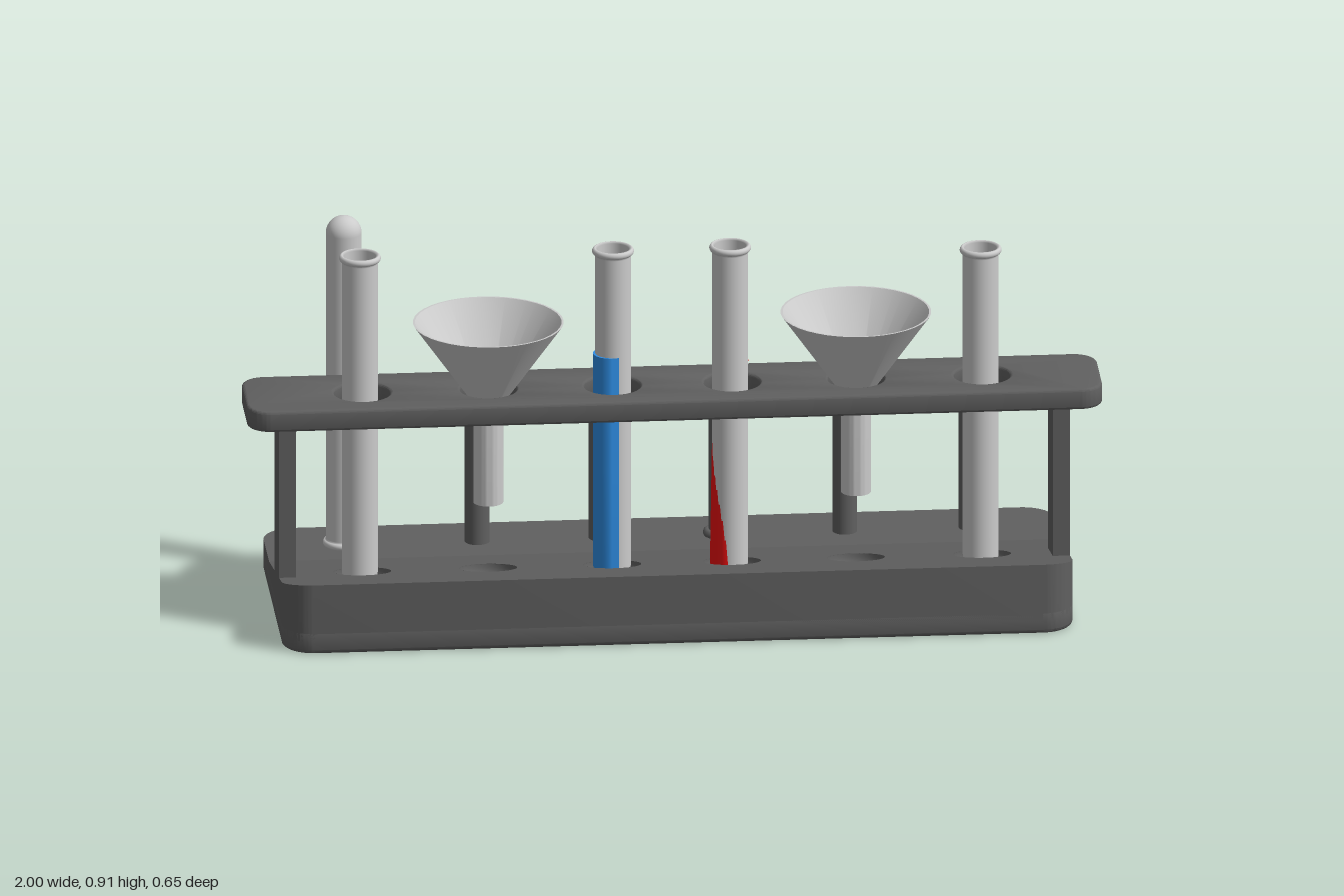
import * as THREE from 'three';
import { toCreasedNormals } from 'three/addons/utils/BufferGeometryUtils.js';

const paint = (color, side = THREE.FrontSide) => new THREE.MeshStandardMaterial({ color, side });
const V = (x, y) => new THREE.Vector2(x, y);

const SLOTS = [-0.725, -0.43, -0.14, 0.14, 0.43, 0.725];
const ROW_Z = 0.11, PEG_Z = -0.2;
const SLOPE = 0.214;
const deckHeight = (z) => 0.08 + Math.max(0, z + 0.1) * SLOPE;

// Rectangle with its own corner radius on the low-y and high-y ends
function roundedRect(hx, y0, y1, rLow, rHigh) {
  const s = new THREE.Shape();
  const corner = (x, y, r, a) => r
    ? s.absarc(x - Math.sign(x) * r, y + (y === y0 ? r : -r), r, a, a + Math.PI / 2, false)
    : s.lineTo(x, y);
  s.moveTo(-hx + rLow, y0);
  corner(hx, y0, rLow, -Math.PI / 2);
  corner(hx, y1, rHigh, 0);
  corner(-hx, y1, rHigh, Math.PI / 2);
  corner(-hx, y0, rLow, Math.PI);
  return s;
}

function addHoles(shape, y, r) {
  for (const x of SLOTS) {
    shape.holes.push(new THREE.Path().absarc(x, y, r, 0, Math.PI * 2, true));
  }
  return shape;
}

// Extrude a plan upwards; plan y becomes -z
function slab(shape, y0, y1, bevel = 0) {
  const g = new THREE.ExtrudeGeometry(shape, {
    depth: y1 - y0 - 2 * bevel, curveSegments: 14, bevelEnabled: bevel > 0,
    bevelThickness: bevel, bevelSize: bevel, bevelOffset: -bevel, bevelSegments: 3,
  });
  return g.rotateX(-Math.PI / 2).translate(0, y0 + bevel, 0);
}

// Apply a rule to every vertex
function moveVertices(g, rule) {
  const p = g.attributes.position, v = new THREE.Vector3();
  for (let i = 0; i < p.count; i++) {
    rule(v.fromBufferAttribute(p, i));
    p.setXYZ(i, v.x, v.y, v.z);
  }
  g.computeVertexNormals();
  return g;
}

// Points of a quarter-round end, from the axis outwards
function roundEnd(r, yCentre, h = r, n = 8) {
  return Array.from({ length: n + 1 }, (_, i) => {
    const a = (i / n) * Math.PI / 2;
    return V(r * Math.sin(a), yCentre - h * Math.cos(a));
  });
}

// Test tube standing on y = 0: rounded end, flared lip, hollow inside
function tubeGeometry(length) {
  const r = 0.042, ri = 0.037;
  const lip = Array.from({ length: 9 }, (_, i) => {
    const a = -Math.PI / 2 + (i / 8) * Math.PI;
    return V(r + 0.007 * Math.cos(a), length - 0.008 + 0.008 * Math.sin(a));
  });
  return new THREE.LatheGeometry([
    ...roundEnd(r, r), V(r, length - 0.02), ...lip,
    V(ri, length - 0.004), ...roundEnd(ri, r).reverse(),
  ], 32);
}

export function createModel() {
  const group = new THREE.Group();
  const dark = paint(0x606060), darkOpen = paint(0x606060, THREE.DoubleSide);
  const grey = paint(0xcccccc, THREE.DoubleSide);
  const add = (name, geometry, material, x = 0, y = 0, z = 0) => {
    const m = new THREE.Mesh(geometry, material);
    m.name = name;
    m.position.set(x, y, z);
    group.add(m);
    return m;
  };

  // Base: solid foot, sloped front deck with recesses, flat rear deck
  const W = 0.925, D = 0.325, R = 0.075;
  add('baseFoot', toCreasedNormals(slab(roundedRect(W, -D, D, R, R), 0, 0.06, 0.01), 0.6), dark);
  const toDeck = (v) => { if (v.y > 0.05) v.y = deckHeight(v.z); };
  const front = addHoles(roundedRect(W, -D, 0.1, R, 0), -ROW_Z, 0.068);
  const rear = roundedRect(W, 0.1, D, 0, R);
  add('frontDeck', toCreasedNormals(moveVertices(slab(front, 0.03, 0.08), toDeck), 0.6), dark);
  add('rearDeck', toCreasedNormals(moveVertices(slab(rear, 0.03, 0.08), toDeck), 0.6), dark);

  // Rounded recesses that follow the slope
  const cup = moveVertices(new THREE.LatheGeometry(roundEnd(0.068, 0, 0.045), 32),
    (v) => { v.y += v.z * SLOPE; });
  for (const x of SLOTS) add('recess', cup, darkOpen, x, deckHeight(ROW_Z), ROW_Z);

  // Side posts and pierced top plate
  for (const s of [-1, 1]) {
    add('post', new THREE.BoxGeometry(0.04, 0.46, 0.13), dark, s * 0.905, 0.3, 0.115);
  }
  const plate = addHoles(roundedRect(1, -0.125, 0.125, 0.055, 0.055), 0, 0.066);
  add('topPlate', toCreasedNormals(slab(plate, 0.52, 0.57, 0.006), 0.6), dark, 0, 0, ROW_Z);

  // Drying pegs with domed tops
  const peg = new THREE.LatheGeometry(
    [V(0.029, 0.07), ...roundEnd(0.029, -0.412).reverse().map((p) => V(p.x, -p.y))], 24);
  for (const x of SLOTS) add('peg', peg, dark, x, 0, PEG_Z);
  const collar = new THREE.TorusGeometry(0.032, 0.01, 10, 28).rotateX(Math.PI / 2);
  add('pegCollar', collar, dark, SLOTS[3], 0.086, PEG_Z);

  // Tubes in the rack: x, bottom, top
  const tubes = [[-0.73, 0.085, 0.91], [-0.138, 0.085, 0.91], [0.136, 0.085, 0.91], [0.722, 0.085, 0.887]];
  for (const [x, y0, y1] of tubes) add('testTube', tubeGeometry(y1 - y0), grey, x, y0, ROW_Z);

  // Inverted tube drying on a peg
  add('dryingTube', tubeGeometry(0.815), grey, -0.742, 0.895, PEG_Z).rotation.x = Math.PI;

  // Liquids: colour, x, radius, level, sideways offset at bottom and top
  const liquids = [
    [0xc040e0, -0.73, 0.0355, 0.5, [0, 0], [0, 0]],
    [0x2f8fe6, -0.138, 0.041, 0.65, [-0.006, 0.003], [-0.006, 0.003]],
    [0xf01010, 0.136, 0.041, 0.62, [-0.007, 0.001], [0.002, -0.007]],
    [0x20e030, 0.722, 0.0355, 0.45, [0, 0], [0, 0]],
  ];
  for (const [color, x, r, level, a, b] of liquids) {
    const h = level - 0.087;
    const g = new THREE.LatheGeometry(
      [...roundEnd(r, r), V(r, h * 0.5), V(r, h), V(r, h), V(0, h)], 32);
    moveVertices(g, (v) => {
      const t = v.y / h;
      v.x += a[0] + (b[0] - a[0]) * t;
      v.z += a[1] + (b[1] - a[1]) * t;
    });
    add('liquid', toCreasedNormals(g, 0.6), paint(color), x, 0.087, ROW_Z);
  }

  // Funnels: thin cone and stem, outside up and inside down
  const funnel = toCreasedNormals(new THREE.LatheGeometry([
    V(0.03, 0.29), V(0.035, 0.29), V(0.035, 0.535), V(0.176, 0.735),
    V(0.171, 0.735), V(0.03, 0.538), V(0.03, 0.29),
  ], 40), 0.5);
  for (const s of [-1, 1]) add('funnel', funnel, grey, s * 0.43, 0, ROW_Z + 0.003);

  return group;
}
